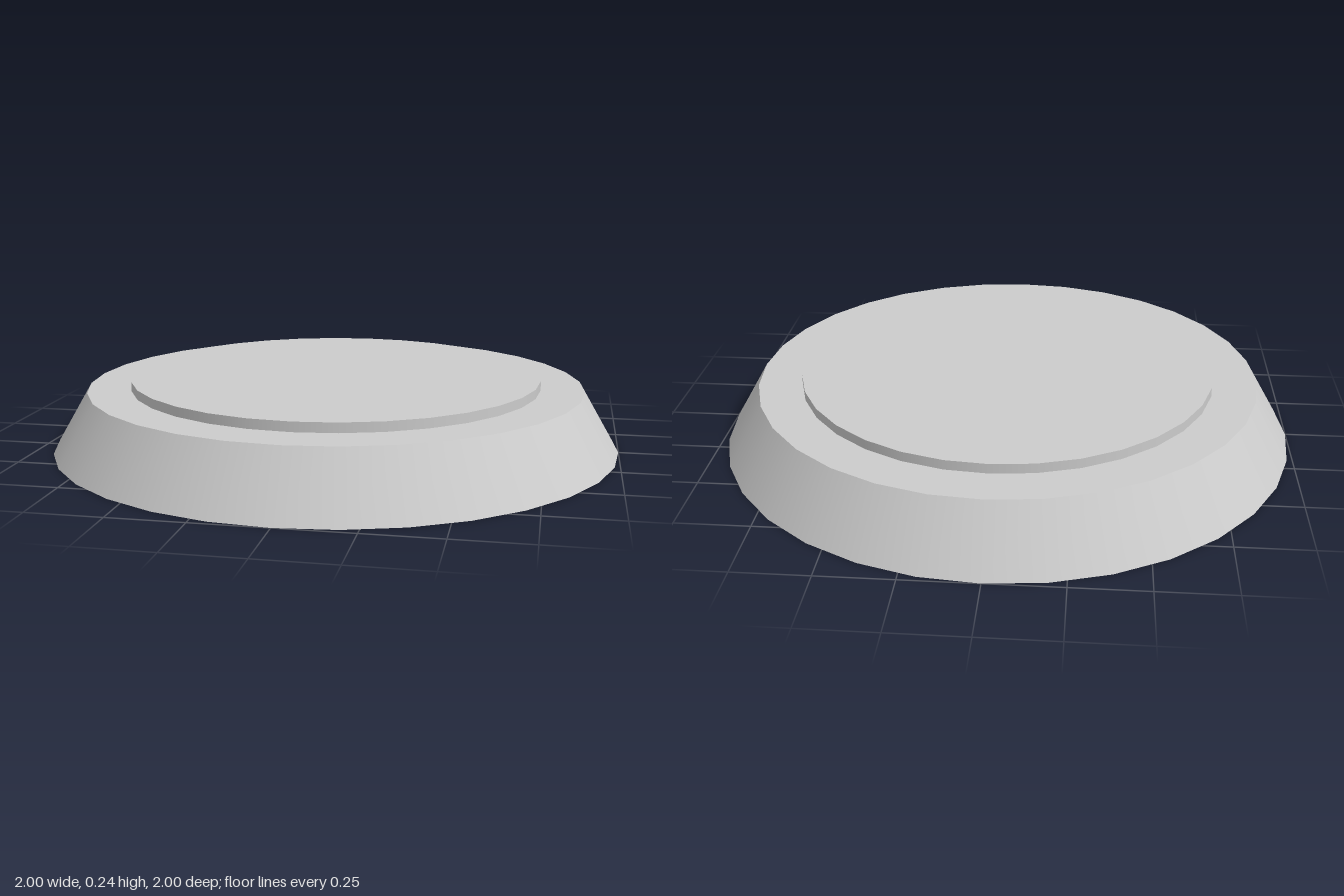
import * as THREE from 'three';

const SIDES = 32;

export function createModel() {
  const model = new THREE.Group();
  const material = new THREE.MeshStandardMaterial({ color: 0xcccccc });

  // Round solid standing on height y
  const addRound = (name, topRadius, bottomRadius, y, height) => {
    const geometry = new THREE.CylinderGeometry(topRadius, bottomRadius, height, SIDES);
    const mesh = new THREE.Mesh(geometry, material);
    mesh.name = name;
    mesh.position.y = y + height / 2;
    model.add(mesh);
  };

  // Tapered base with a thin raised disc on top
  addRound('taperedBase', 0.877, 1, 0, 0.21);
  addRound('raisedDisc', 0.725, 0.725, 0.21, 0.033);

  return model;
}
